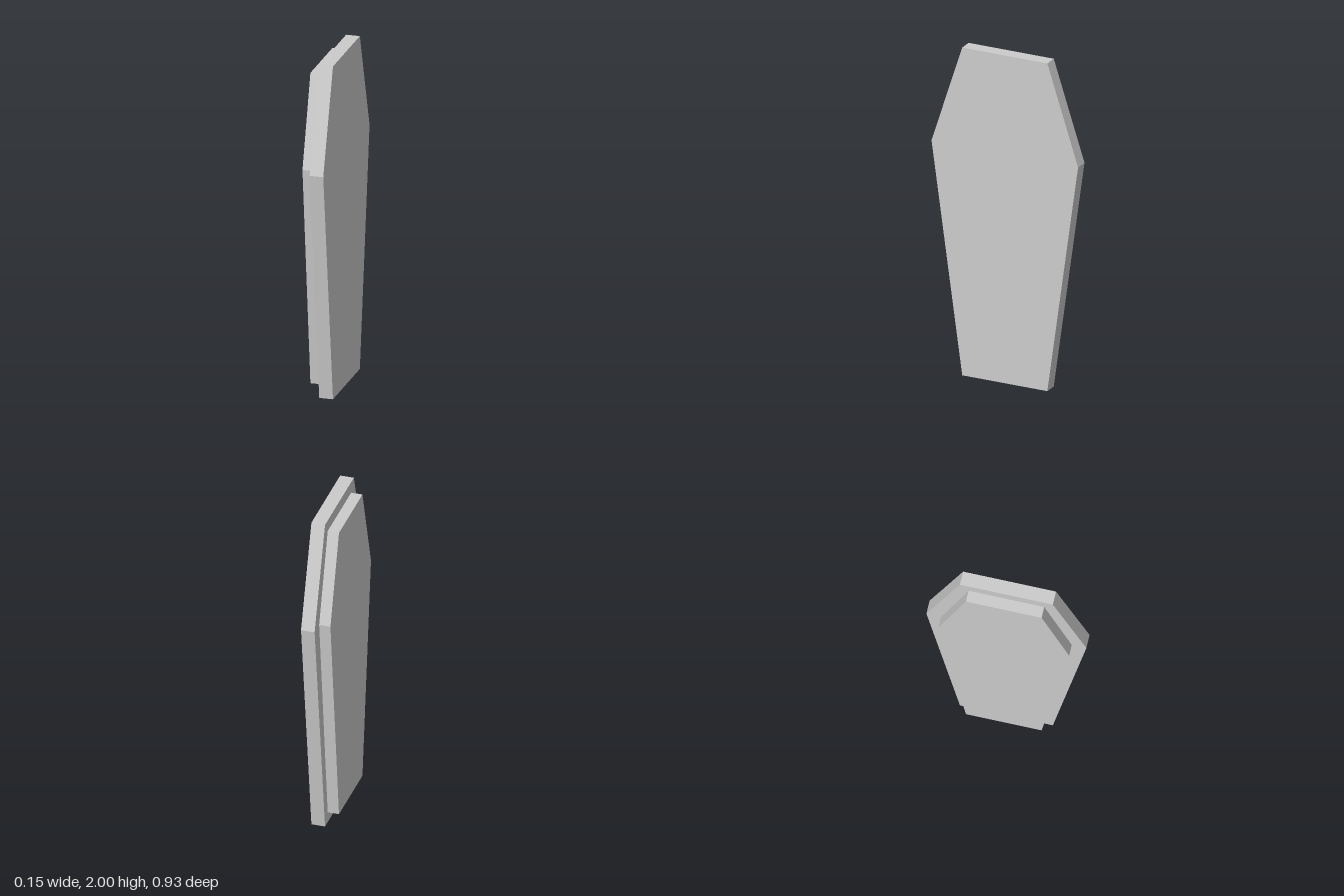
import * as THREE from 'three';

// Six-sided tapered slab: outline in the z-y plane, thickness along x
function taperedSlab(name, material, { x0, x1, bottom, shoulder, top, endHalf, shoulderHalf }) {
  const shape = new THREE.Shape([
    [-endHalf, bottom], [endHalf, bottom], [shoulderHalf, shoulder],
    [endHalf, top], [-endHalf, top], [-shoulderHalf, shoulder],
  ].map(([z, y]) => new THREE.Vector2(z, y)));
  const geometry = new THREE.ExtrudeGeometry(shape, { depth: x1 - x0, bevelEnabled: false });
  geometry.rotateY(Math.PI / 2);
  geometry.translate(x0, 0, 0);
  const mesh = new THREE.Mesh(geometry, material);
  mesh.name = name;
  return mesh;
}

export function createModel() {
  const group = new THREE.Group();
  group.name = 'coffinLid';
  const lightGrey = new THREE.MeshStandardMaterial({ color: 0xcccccc });
  lightGrey.name = 'lightGrey';

  // Full-size outer panel
  group.add(taperedSlab('outerPanel', lightGrey, {
    x0: -0.007, x1: 0.074, bottom: 0, shoulder: 1.4, top: 2, endHalf: 0.27, shoulderHalf: 0.465,
  }));
  // Smaller panel on the -x side
  group.add(taperedSlab('innerPanel', lightGrey, {
    x0: -0.074, x1: -0.007, bottom: 0.065, shoulder: 1.4, top: 1.93, endHalf: 0.22, shoulderHalf: 0.38,
  }));
  return group;
}
